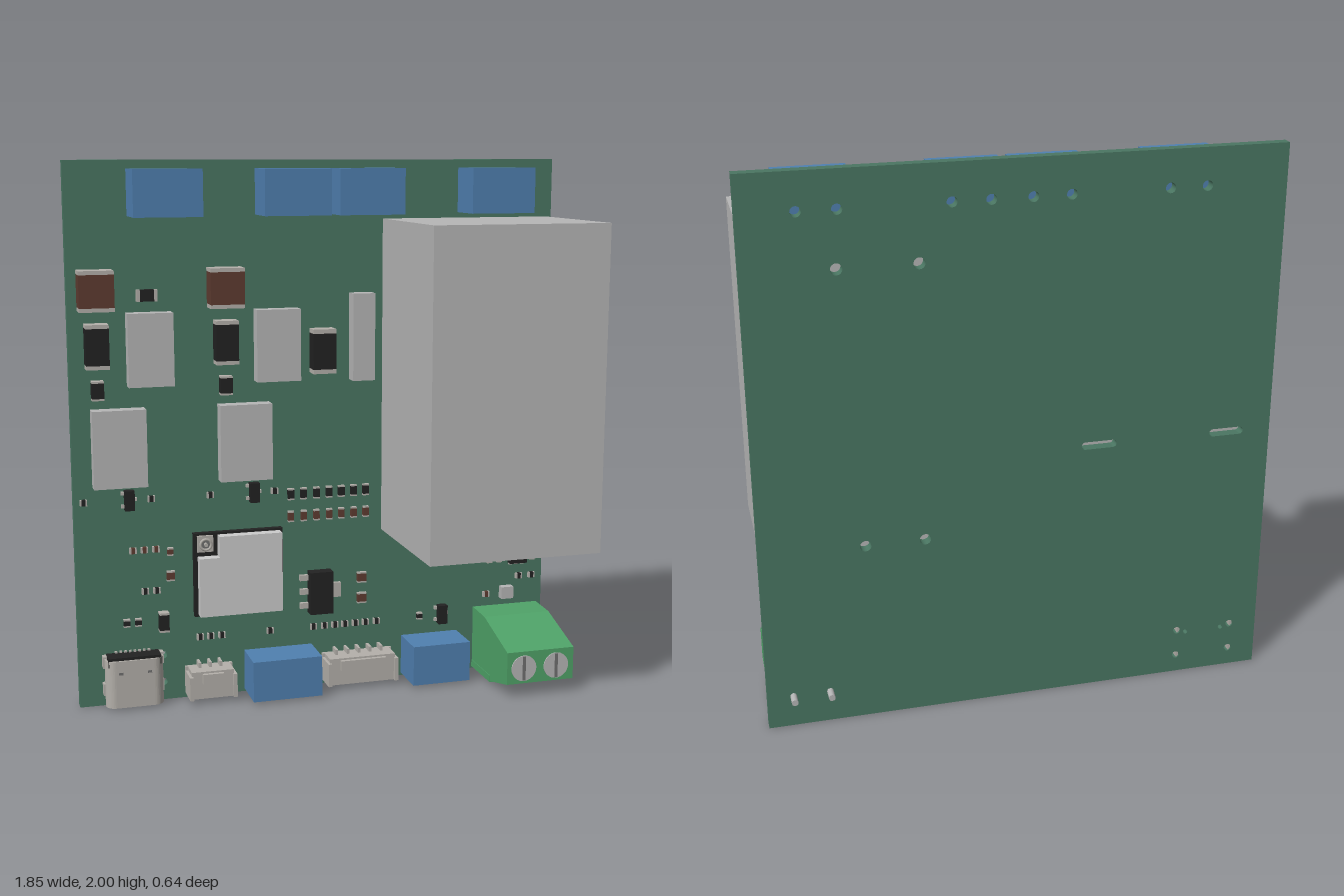
import * as THREE from 'three';

const F = -0.235;   // front face of the board
const B = -0.275;   // back face of the board

const paint = (name, color) => Object.assign(new THREE.MeshStandardMaterial({ color }), { name });

export function createModel() {
  const M = {
    board: paint('board green', 0x4a7662),
    grey: paint('package grey', 0xb6b6b6),
    blue: paint('connector blue', 0x5080b0),
    green: paint('terminal green', 0x4fa268),
    black: paint('chip black', 0x222222),
    brown: paint('capacitor brown', 0x5e3c31),
    silver: paint('metal silver', 0xb4b0aa),
    light: paint('shield light grey', 0xcccccc),
    slot: paint('slot dark grey', 0x707070),
  };
  const root = new THREE.Group();
  root.name = 'circuitBoard';

  const add = (name, geometry, material, parent = root) => {
    const mesh = new THREE.Mesh(geometry, material);
    mesh.name = name;
    parent.add(mesh);
    return mesh;
  };
  const group = (name) => {
    const g = new THREE.Group();
    g.name = name;
    root.add(g);
    return g;
  };
  // Box from its limits
  const box = (name, mat, x0, x1, y0, y1, z0, z1, parent = root) =>
    add(name, new THREE.BoxGeometry(x1 - x0, y1 - y0, z1 - z0)
      .translate((x0 + x1) / 2, (y0 + y1) / 2, (z0 + z1) / 2), mat, parent);
  // Cylinder pointing along z
  const disc = (name, mat, x, y, r, z0, z1, parent = root, sides = 24) =>
    add(name, new THREE.CylinderGeometry(r, r, z1 - z0, sides)
      .rotateX(Math.PI / 2).translate(x, y, (z0 + z1) / 2), mat, parent);

  // Board with drilled holes and two slots
  const outline = new THREE.Shape([[-0.925, 0], [0.92, 0], [0.92, 2], [-0.925, 2]]
    .map(([x, y]) => new THREE.Vector2(x, y)));
  const drill = (x, y, r, half = 0) => {
    const p = new THREE.Path();
    p.absarc(x + half, y, r, -Math.PI / 2, Math.PI / 2, false);
    p.absarc(x - half, y, r, Math.PI / 2, Math.PI * 1.5, false);
    outline.holes.push(p);
  };
  for (const x of [0.73, 0.6, 0.23, 0.1, -0.04, -0.17, -0.51, -0.64]) drill(x, 1.87, 0.018);
  for (const [x, y] of [[0.61, 1.675], [0.34, 1.675], [0.55, 0.68], [0.34, 0.68]]) drill(x, y, 0.02);
  for (const x of [-0.82, -0.61]) for (const y of [0.07, 0.175]) drill(x, y, 0.014);
  for (const x of [-0.785, -0.645]) drill(x, 0.165, 0.009);
  for (const x of [-0.76, -0.285]) drill(x, 0.97, 0.014, 0.05);
  add('board', new THREE.ExtrudeGeometry(outline, { depth: F - B, bevelEnabled: false, curveSegments: 8 })
    .translate(0, 0, B), M.board);

  // Large power block and blue connectors
  box('powerBlock', M.grey, 0.245, 0.9, 0.6, 1.785, F, 0.32);
  for (const x of [-0.705, -0.24, 0.035, 0.54]) box('topConnector', M.blue, x, x + 0.245, 1.805, 1.97, F, -0.08);
  for (const [a, b] of [[-0.3, -0.035], [0.33, 0.56]]) box('bottomConnector', M.blue, a, b, 0.01, 0.165, F, -0.08);

  // Flat grey packages
  for (const [a, b, c, d] of [[-0.72, -0.555, 1.2, 1.465], [-0.25, -0.085, 1.2, 1.465],
    [-0.855, -0.66, 0.835, 1.12], [-0.39, -0.195, 0.835, 1.12], [0.115, 0.2, 1.19, 1.515]])
    box('flatPackage', M.grey, a, b, c, d, F, -0.18);

  // Two-ended part: body with metal caps at both ends of its long side
  const chip = (name, mat, x, y, w, h, t, cap, capMat = M.silver) => {
    const g = group(name);
    const up = h > w, W = w / 2, H = h / 2;
    if (up) box('body', mat, x - W, x + W, y - H + cap, y + H - cap, F, F + t, g);
    else box('body', mat, x - W + cap, x + W - cap, y - H, y + H, F, F + t, g);
    for (const s of [-1, 1]) {
      const cx = up ? x : x + s * (W - cap / 2), cy = up ? y + s * (H - cap / 2) : y;
      const cw = up ? W : cap / 2, ch = up ? cap / 2 : H;
      box('cap', capMat, cx - cw, cx + cw, cy - ch, cy + ch, F, F + t, g);
    }
  };
  for (const x of [-0.828, -0.36]) {
    chip('largeCapacitor', M.brown, x, 1.548, 0.125, 0.145, 0.075, 0.014);
    chip('largeDiode', M.black, x, 1.35, 0.083, 0.16, 0.06, 0.014);
    chip('smallDiode', M.black, x, 1.19, 0.044, 0.07, 0.035, 0.007);
  }
  chip('largeDiode', M.black, 0.005, 1.305, 0.087, 0.165, 0.06, 0.016);
  chip('resistor', M.black, -0.643, 1.525, 0.075, 0.042, 0.025, 0.012);
  chip('smallDiode', M.black, -0.608, 0.31, 0.036, 0.075, 0.035, 0.008);

  // Tiny resistors and capacitors
  const row = (mat, y, xs, w = 0.026, h = 0.022) =>
    xs.forEach((x) => chip('tinyPart', mat, x, y, w, h, 0.014, 0.006));
  row(M.black, 0.78, [-0.89, -0.643, -0.423, -0.178]);
  const ladder = [-0.115, -0.065, -0.015, 0.035, 0.083, 0.132, 0.18];
  row(M.black, 0.763, ladder, 0.024, 0.044);
  row(M.brown, 0.677, ladder, 0.022, 0.042);
  row(M.brown, 0.588, [-0.715, -0.673, -0.63]);
  row(M.brown, 0.575, [-0.577], 0.022, 0.03);
  row(M.brown, 0.482, [-0.577], 0.03, 0.038);
  row(M.black, 0.43, [-0.673, -0.63]);
  row(M.black, 0.313, [-0.745, -0.702], 0.024, 0.03);
  row(M.black, 0.235, [-0.47, -0.43, -0.387, -0.2, -0.028, 0.016, 0.058, 0.097, 0.14, 0.18, 0.225]);
  row(M.black, 0.24, [0.402], 0.022, 0.028);
  row(M.black, 0.54, [0.727, 0.874], 0.03, 0.022);
  row(M.black, 0.448, [0.694, 0.735], 0.022, 0.032);
  row(M.black, 0.448, [0.874], 0.022, 0.03);
  row(M.black, 0.37, [0.82, 0.874]);
  row(M.brown, 0.305, [0.682]);
  for (const y of [0.335, 0.417]) row(M.brown, y, [0.165], 0.035, 0.042);
  box('smallCube', M.grey, 0.74, 0.79, 0.285, 0.333, F, F + 0.03);

  // Small transistors with three leads
  for (const [x, y] of [[-0.725, 0.782], [-0.258, 0.782], [0.493, 0.243]]) {
    const g = group('transistor');
    box('body', M.black, x - 0.018, x + 0.018, y - 0.037, y + 0.037, F + 0.004, F + 0.035, g);
    for (const [a, b] of [[-0.022, -0.024], [-0.022, 0.024], [0.022, 0]])
      box('lead', M.silver, x + a - 0.007, x + a + 0.007, y + b - 0.006, y + b + 0.006, F, F + 0.012, g);
  }
  // Six-lead driver chip
  const driver = group('driverChip');
  box('body', M.black, 0.772, 0.843, 0.428, 0.472, F + 0.004, F + 0.035, driver);
  for (const x of [0.783, 0.807, 0.832]) box('lead', M.silver, x - 0.006, x + 0.006, 0.419, 0.481, F, F + 0.012, driver);

  // Voltage regulator with tab
  const reg = group('regulator');
  box('body', M.black, -0.05, 0.04, 0.295, 0.46, F + 0.004, F + 0.05, reg);
  box('tab', M.silver, 0.04, 0.08, 0.348, 0.405, F, F + 0.015, reg);
  for (const y of [0.323, 0.378, 0.433]) box('lead', M.silver, -0.082, -0.05, y - 0.011, y + 0.011, F, F + 0.015, reg);

  // Radio module: notched shield can and aerial socket
  const radio = group('radioModule');
  box('base', M.black, -0.492, -0.152, 0.32, 0.64, F, F + 0.025, radio);
  const can = new THREE.Shape([[-0.478, 0.328], [-0.163, 0.328], [-0.163, 0.632], [-0.402, 0.632],
    [-0.402, 0.552], [-0.478, 0.552]].map(([x, y]) => new THREE.Vector2(x, y)));
  add('shieldCan', new THREE.ExtrudeGeometry(can, { depth: 0.04, bevelEnabled: false })
    .translate(0, 0, F + 0.025), M.light, radio);
  box('socketBase', M.silver, -0.48, -0.42, 0.57, 0.632, F + 0.025, F + 0.035, radio);
  disc('socketWell', M.slot, -0.45, 0.601, 0.02, F + 0.035, F + 0.04, radio);
  disc('socketPin', M.silver, -0.45, 0.601, 0.007, F + 0.035, F + 0.053, radio, 12);
  add('socketRing', new THREE.TorusGeometry(0.02, 0.005, 8, 24).translate(-0.45, 0.601, F + 0.045), M.silver, radio);

  // Rounded port shell, open at the lower edge
  const port = group('roundedPort');
  const pill = (T, w, r) => {
    const s = new T();
    s.absarc(w - r, 0, r, -Math.PI / 2, Math.PI / 2, false);
    s.absarc(r - w, 0, r, Math.PI / 2, Math.PI * 1.5, false);
    s.closePath();
    return s;
  };
  const shell = pill(THREE.Shape, 0.108, 0.037);
  shell.holes.push(pill(THREE.Path, 0.1, 0.029));
  add('shell', new THREE.ExtrudeGeometry(shell, { depth: 0.18, bevelEnabled: false, curveSegments: 10 })
    .rotateX(-Math.PI / 2).translate(-0.727, 0.01, F + 0.038), M.silver, port);
  box('tongue', M.black, -0.8, -0.654, 0.03, 0.18, F + 0.032, F + 0.044, port);
  box('rear', M.black, -0.825, -0.629, 0.165, 0.2, F, F + 0.066, port);
  for (const x of [-0.78, -0.674]) box('spring', M.slot, x - 0.008, x + 0.008, 0.138, 0.147, F + 0.073, F + 0.077, port);
  for (const s of [-1, 1]) for (const y of [0.07, 0.175])
    box('tab', M.silver, -0.727 + s * 0.105 - 0.008, -0.727 + s * 0.105 + 0.008, y - 0.022, y + 0.022, B + 0.005, F + 0.03, port);
  for (let i = 0; i < 8; i++) box('contact', M.silver, -0.792 + i * 0.0175, -0.783 + i * 0.0175, 0.19, 0.207, F, F + 0.008, port);

  // Pin headers: shrouds open at the lower edge
  const header = (x0, x1, pins) => {
    const g = group('pinHeader');
    const top = -0.13, w = 0.014;
    box('floor', M.silver, x0, x1, 0.02, 0.125, F, F + w, g);
    box('rear', M.silver, x0 + 0.01, x1 - 0.01, 0.095, 0.125, F + w, top - 0.015, g);
    box('cover', M.silver, x0 + w, x1 - w, 0.02, 0.095, top - 0.03, top - 0.015, g);
    box('lip', M.silver, x0 + 0.05, x1 - 0.05, 0.08, 0.118, top - 0.015, top, g);
    for (const x of [x0, x1 - w]) box('side', M.silver, x, x + w, 0.02, 0.11, F + w, top, g);
    for (let i = 0; i < pins; i++) {
      const x = x0 + 0.05 + (x1 - x0 - 0.1) * i / (pins - 1);
      box('pin', M.silver, x - 0.005, x + 0.005, 0.035, 0.145, F + 0.035, F + 0.045, g);
      box('foot', M.silver, x - 0.005, x + 0.005, 0.125, 0.145, F, F + 0.045, g);
    }
  };
  header(-0.53, -0.35, 3);
  header(0.005, 0.285, 5);

  // Screw terminal: solid walls with two hollowed bays between them
  const terminal = group('screwTerminal');
  const slice = (name, x0, x1, pts) => add(name, new THREE.ExtrudeGeometry(
    new THREE.Shape(pts.map(([z, y]) => new THREE.Vector2(z, y))), { depth: x1 - x0, bevelEnabled: false })
    .rotateY(-Math.PI / 2).translate(x1, 0, 0), M.green, terminal);
  const upper = [[0.125, 0.055], [0.125, 0.18], [-0.11, 0.25], [F, 0.255], [F, 0.012]];
  for (const [a, b] of [[0.63, 0.65], [0.755, 0.775], [0.88, 0.9]]) slice('wall', a, b, [...upper, [-0.04, 0.012]]);
  for (const [a, b] of [[0.65, 0.755], [0.775, 0.88]])
    slice('bay', a, b, [...upper, [-0.04, 0.012], [-0.02, 0.017], [-0.02, 0.12], [0.1, 0.12], [0.1, 0.048]]);
  box('base', M.green, 0.628, 0.902, 0.008, 0.035, F, -0.04, terminal);
  for (const x of [0.697, 0.828]) {
    disc('screw', M.grey, x, 0.115, 0.05, 0.115, 0.129, terminal, 32);
    box('screwSlot', M.slot, x - 0.006, x + 0.006, 0.068, 0.162, 0.126, 0.131, terminal);
    disc('terminalPin', M.grey, x, 0.12, 0.012, -0.322, F, terminal, 12);
  }
  return root;
}
